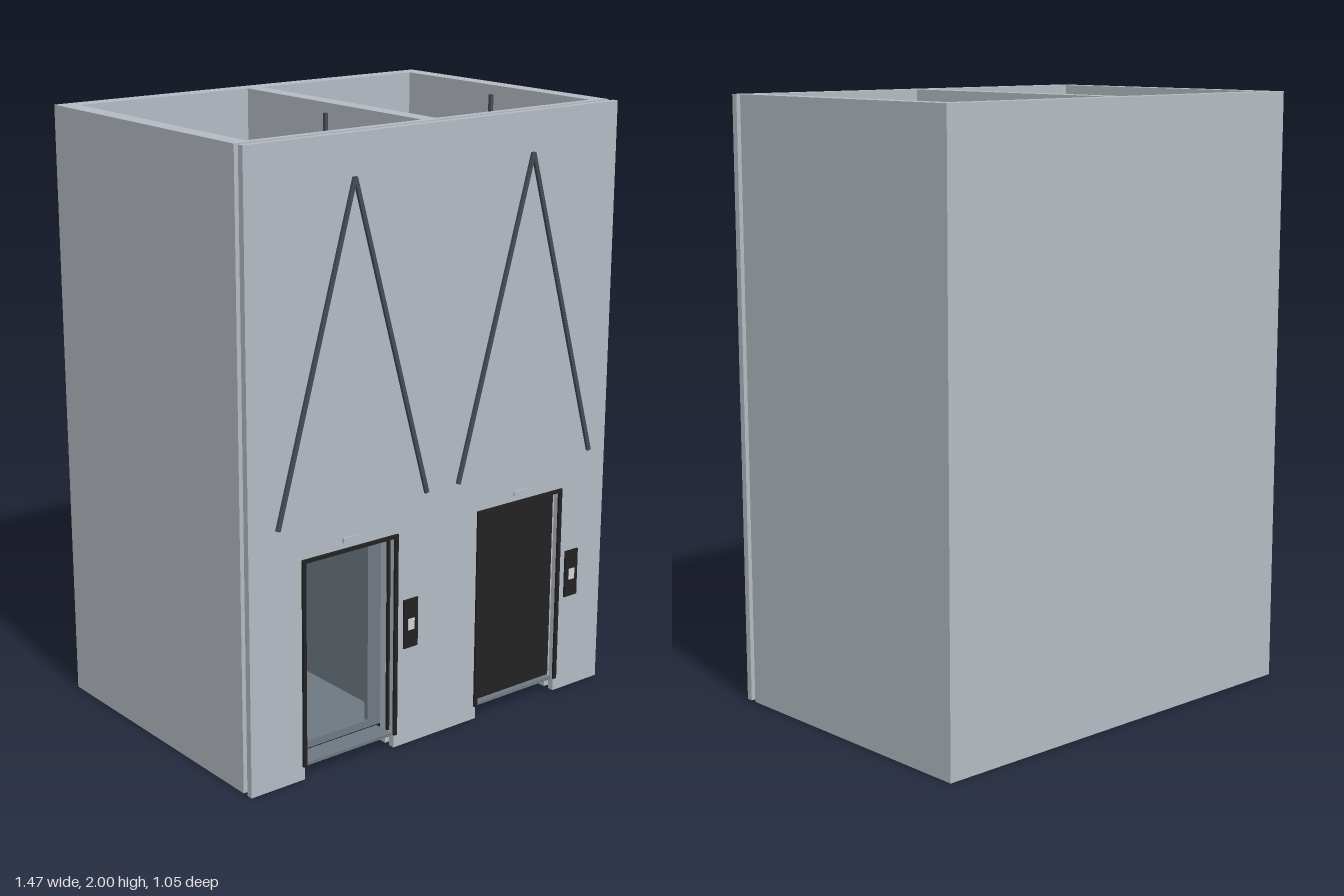
import * as THREE from 'three';

const mat = (name, color) => Object.assign(new THREE.MeshStandardMaterial({ color }), { name });

export function createModel() {
  const concrete = mat('concrete', 0xb4bbc3);
  const slate = mat('slate metal', 0x6e7882);
  const black = mat('black', 0x222222);
  const steel = mat('dark steel', 0x454c54);
  const light = mat('light display', 0xd0d2d4);
  const model = new THREE.Group();
  model.name = 'elevatorShafts';

  // Box given by its min and max corners
  function box(name, m, x0, x1, y0, y1, z0, z1, parent = model) {
    const mesh = new THREE.Mesh(new THREE.BoxGeometry(x1 - x0, y1 - y0, z1 - z0), m);
    mesh.position.set((x0 + x1) / 2, (y0 + y1) / 2, (z0 + z1) / 2);
    mesh.name = name;
    parent.add(mesh);
    return mesh;
  }

  // Extruded outline in the xy plane
  function extrude(name, m, shape, z0, z1, parent = model) {
    const g = new THREE.ExtrudeGeometry(shape, { depth: z1 - z0, bevelEnabled: false });
    const mesh = new THREE.Mesh(g, m);
    mesh.position.z = z0;
    mesh.name = name;
    parent.add(mesh);
    return mesh;
  }
  const outline = (pts) => new THREE.Shape(pts.map(([x, y]) => new THREE.Vector2(x, y)));

  const W = 0.735, H = 2, C = 0.353; // half width, height, bay centre
  const D = 0.178, DT = 0.725;       // half door width, door top

  // Wall with two doorways reaching the ground
  const doorwayWall = () => outline([
    [-W, 0], [-C - D, 0], [-C - D, DT], [-C + D, DT], [-C + D, 0],
    [C - D, 0], [C - D, DT], [C + D, DT], [C + D, 0], [W, 0], [W, H], [-W, H],
  ]);

  // Shaft: open at top and bottom
  extrude('shaftFrontWall', concrete, doorwayWall(), 0.431, 0.458);
  extrude('frontCladding', concrete, doorwayWall(), 0.478, 0.5);
  box('shaftBackWall', concrete, -W, W, 0, H, -0.526, -0.467);
  box('shaftLeftWall', concrete, 0.676, W, 0, H, -0.467, 0.431);
  box('shaftRightWall', concrete, -W, -0.676, 0, H, -0.467, 0.431);
  box('dividingWall', concrete, -0.029, 0.029, 0, H, -0.467, 0.431);

  for (const [side, open] of [[-1, true], [1, false]]) {
    const bay = new THREE.Group();
    bay.name = side < 0 ? 'rightBay' : 'leftBay';
    bay.position.x = side * C;
    model.add(bay);

    // Guide rails on both side walls
    for (const s of [-1, 1]) {
      const x = s * 0.308;
      box('guideRail', steel, x - 0.006, x + 0.006, 0.02, 1.97, -0.026, -0.014, bay);
    }

    // Sliding door leaves, drawn aside in the open bay
    for (const s of [-1, 1]) {
      const x = s * (open ? D * 1.5 - 0.003 : D / 2);
      box('doorLeaf', black, x - D / 2, x + D / 2, 0.05, 0.72, 0.462, 0.472, bay);
    }
    box('doorSill', slate, -D + 0.002, D - 0.002, 0.038, 0.048, 0.415, 0.49, bay);

    // Door surround
    const frame = outline([
      [-0.187, 0.045], [-0.174, 0.045], [-0.174, 0.718], [0.174, 0.718],
      [0.174, 0.045], [0.187, 0.045], [0.187, 0.73], [-0.187, 0.73],
    ]);
    extrude('doorFrame', black, frame, 0.499, 0.507, bay);
    box('directionLamp', concrete, -0.03, 0.03, 0.75, 0.765, 0.499, 0.506, bay);

    // Call panel with display
    box('callPanel', black, 0.213, 0.27, 0.335, 0.5, 0.499, 0.506, bay);
    box('callDisplay', light, 0.229, 0.254, 0.396, 0.434, 0.505, 0.509, bay);

    // Slanted trim bars meeting in a peak
    const t = 0.0065;
    const peak = outline([
      [-0.288 - t, 0.852], [-0.288 + t, 0.848], [0, 1.852], [0.288 - t, 0.848],
      [0.288 + t, 0.852], [t, 1.875], [-t, 1.875],
    ]);
    extrude('peakTrim', steel, peak, 0.515, 0.525, bay);

    // Cabin parked behind the open door
    if (open) {
      const cabin = new THREE.Group();
      cabin.name = 'cabin';
      bay.add(cabin);
      const w = 0.272, z0 = -0.417, z1 = 0.366, top = 0.81;
      box('cabinFloor', slate, -w, w, 0.02, 0.045, z0, z1, cabin);
      box('cabinRoof', slate, -w, w, top - 0.02, top, z0, z1, cabin);
      box('cabinBack', slate, -w, w, 0.045, top - 0.02, z0, z0 + 0.015, cabin);
      for (const s of [-1, 1]) {
        const x = s * (w - 0.0075);
        box('cabinSide', slate, x - 0.0075, x + 0.0075, 0.045, top - 0.02, z0 + 0.015, z1, cabin);
        const r = s * (w - 0.015 + D) / 2, h = (w - 0.015 - D) / 2;
        box('cabinFrontReturn', slate, r - h, r + h, 0.045, top - 0.02, z1 - 0.015, z1, cabin);
      }
      box('cabinHeader', slate, -D, D, DT, top - 0.02, z1 - 0.015, z1, cabin);
    }
  }
  return model;
}
